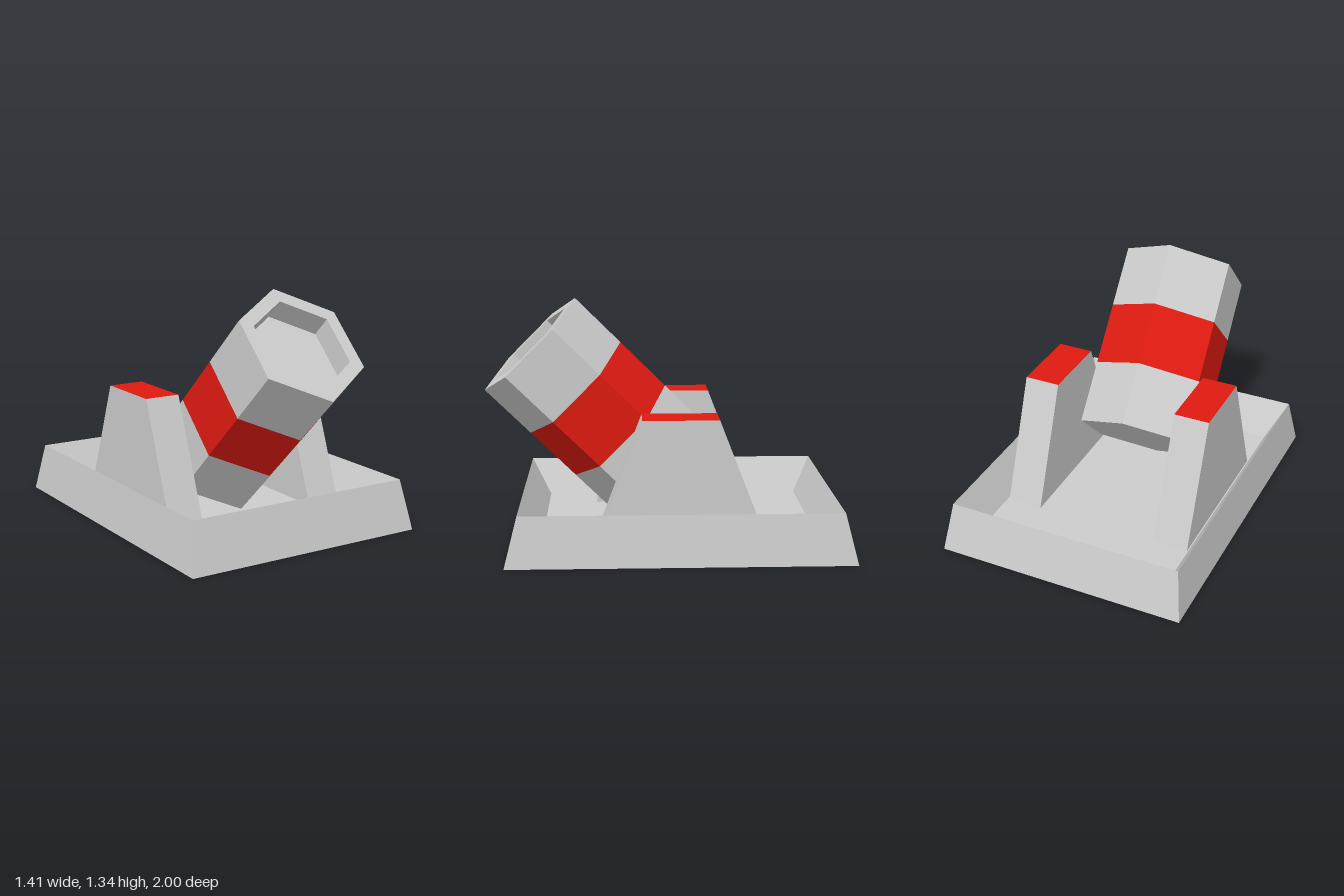
import * as THREE from 'three';

const grey = new THREE.MeshStandardMaterial({ color: 0xcccccc, flatShading: true });
const red = new THREE.MeshStandardMaterial({ color: 0xdd1a10, flatShading: true });

// Skins a stack of rectangles [x0, x1, z0, z1, y], optionally closing either end
function loft(rings, capStart = true, capEnd = true) {
  const corners = rings.map(([x0, x1, z0, z1, y]) => [[x0, y, z1], [x1, y, z1], [x1, y, z0], [x0, y, z0]]);
  const pos = [];
  const quad = (a, b, c, d) => pos.push(...a, ...b, ...c, ...a, ...c, ...d);
  for (let i = 0; i < corners.length - 1; i++) {
    for (let k = 0; k < 4; k++) {
      const n = (k + 1) % 4;
      quad(corners[i][k], corners[i][n], corners[i + 1][n], corners[i + 1][k]);
    }
  }
  if (capStart) quad(...corners[0].slice().reverse());
  if (capEnd) quad(...corners[corners.length - 1]);
  const geometry = new THREE.BufferGeometry();
  geometry.setAttribute('position', new THREE.Float32BufferAttribute(pos, 3));
  geometry.computeVertexNormals();
  return geometry;
}

function addMesh(parent, name, geometry, material) {
  const mesh = new THREE.Mesh(geometry, material);
  mesh.name = name;
  parent.add(mesh);
  return mesh;
}

// Hexagonal shell from [radius, height] points
function hexShell(points) {
  return new THREE.LatheGeometry(points.map(([r, y]) => new THREE.Vector2(r, y)), 6);
}

export function createModel() {
  const model = new THREE.Group();
  const floorY = 0.075;

  // Tray: sloping outer walls, sharp rim, sloping inner walls and sunken floor
  addMesh(model, 'baseTray', loft([
    [-0.705, 0.705, -1, 0.855, 0],
    [-0.665, 0.665, -0.93, 0.785, 0.275],
    [-0.56, 0.56, -0.825, 0.67, floorY],
  ]), grey);

  // Tapered side supports with coloured tops
  for (const [side, cx] of [['left', 0.448], ['right', -0.453]]) {
    const support = new THREE.Group();
    support.name = side + 'Support';
    const x0 = cx - 0.1, x1 = cx + 0.1;
    const foot = [x0, x1, -0.54, 0.385, floorY];
    const top = [x0, x1, -0.277, 0.13, 0.75];
    addMesh(support, 'supportBody', loft([foot, top], true, false), grey);
    addMesh(support, 'supportTop', loft([top]. concat([top]), false, true), red);
    model.add(support);
  }

  // Barrel: three equal hexagonal sections, the muzzle one with a shallow bore
  const barrel = new THREE.Group();
  barrel.name = 'barrel';
  const R = 0.36, bore = 0.277, length = 1.06, step = length / 3;
  addMesh(barrel, 'breech', hexShell([[0, 0], [R, 0], [R, step]]), grey);
  addMesh(barrel, 'barrelBand', hexShell([[R, step], [R, 2 * step]]), red);
  addMesh(barrel, 'muzzle', hexShell([
    [R, 2 * step], [R, length], [bore, length], [bore, length - 0.13], [0, length - 0.13],
  ]), grey);

  // Aim it up at 45 degrees, turned slightly to one side
  const axis = new THREE.Vector3(0.049, 0.707, 0.707).normalize();
  const across = new THREE.Vector3(1, -0.02, -0.049);
  across.addScaledVector(axis, -across.dot(axis)).normalize();
  const under = new THREE.Vector3().crossVectors(across, axis);
  barrel.quaternion.setFromRotationMatrix(new THREE.Matrix4().makeBasis(across, axis, under));
  barrel.position.set(-0.03, 0.335, -0.005);
  model.add(barrel);

  return model;
}
